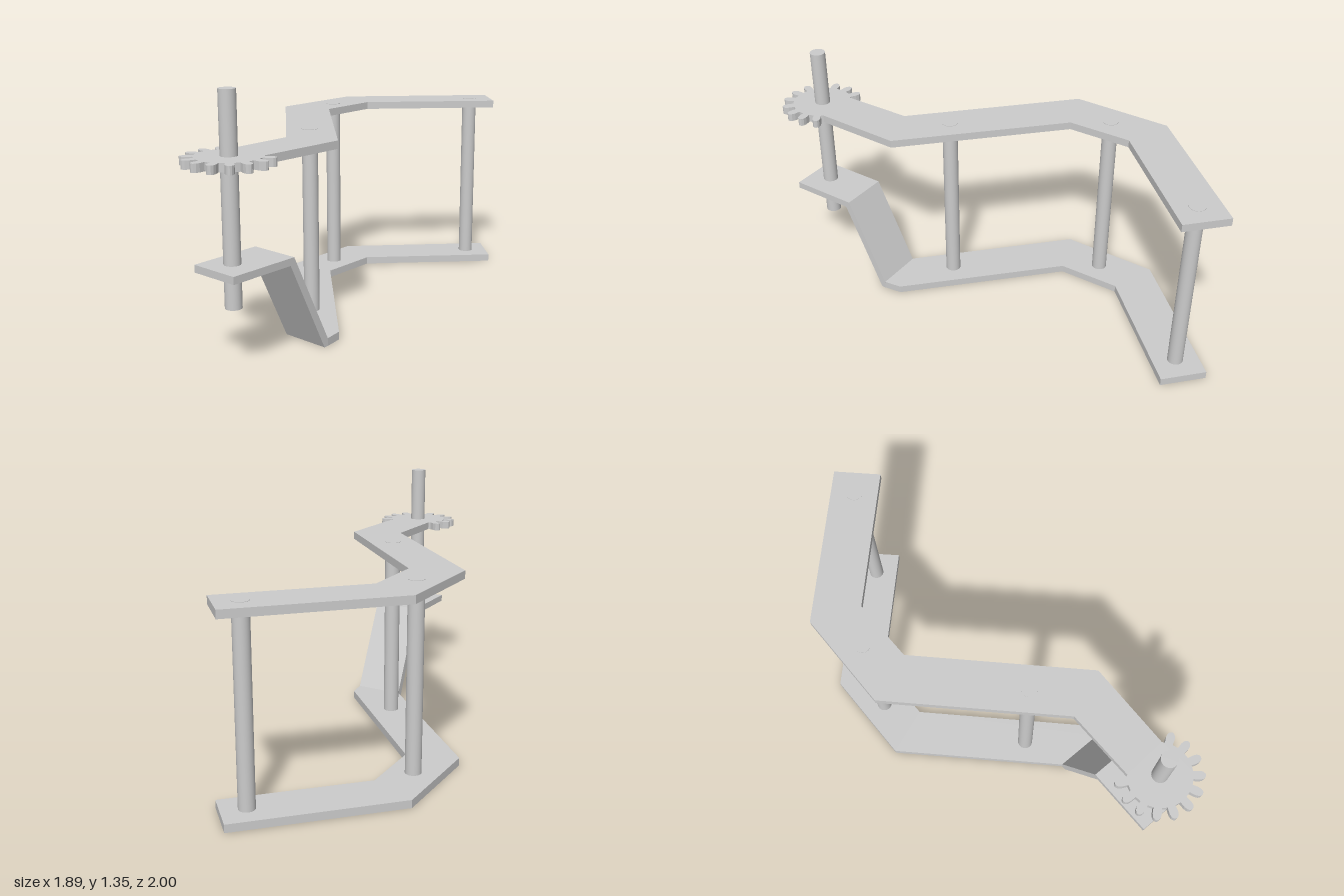
import * as THREE from 'three';

const THICK = 0.042;
const SHAFT = [-0.73, 0.775];

// Flat plate from a plan outline of [x, z] points
function plateGeometry(points, y) {
  const shape = new THREE.Shape(points.map(([x, z]) => new THREE.Vector2(x, -z)));
  const geo = new THREE.ExtrudeGeometry(shape, { depth: THICK, bevelEnabled: false });
  return geo.rotateX(-Math.PI / 2).translate(0, y, 0);
}

// Rounded gear teeth running round the free end of the upper plate
function gearEdge() {
  const tooth = [[-7, 0.165], [-6.5, 0.195], [-5, 0.213], [-2.5, 0.223], [0, 0.226],
    [2.5, 0.223], [5, 0.213], [6.5, 0.195], [7, 0.165]];
  const polar = (deg, r) => {
    const a = THREE.MathUtils.degToRad(deg);
    return [SHAFT[0] + r * Math.cos(a), SHAFT[1] + r * Math.sin(a)];
  };
  const points = [polar(6, 0.165)];
  for (let i = 0; i < 11; i++) {
    for (const [offset, r] of tooth) points.push(polar(18 + i * 24 + offset, r));
  }
  points.push(polar(269, 0.158));
  return points;
}

export function createModel() {
  const group = new THREE.Group();
  const material = new THREE.MeshStandardMaterial({ color: 0xcccccc });
  const add = (name, geo) => {
    const mesh = new THREE.Mesh(geo, material);
    mesh.name = name;
    group.add(mesh);
    return mesh;
  };

  // Zigzag outline shared by both plates
  const zigzag = [[-0.44, 0.36], [-0.37, -0.64], [0.05, -1], [0.94, -0.94],
    [0.925, -0.685], [0.14, -0.74], [-0.125, -0.505], [-0.195, 0.485]];
  add('upperPlateWithGear', plateGeometry([...zigzag, ...gearEdge()], 1.0));
  add('lowerPlate', plateGeometry([...zigzag, [-0.262, 0.562]], 0));

  // Ramp and raised shelf: side profile (distance along the arm, height) swept across the width
  const width = 0.27;
  const profile = [[0, 0], [0.025, 0], [0.255, 0.488], [0.617, 0.488],
    [0.617, 0.526], [0.23, 0.526], [0, THICK]];
  const shape = new THREE.Shape(profile.map(([s, y]) => new THREE.Vector2(s, y)));
  const rampGeo = new THREE.ExtrudeGeometry(shape, { depth: width, bevelEnabled: false });
  rampGeo.translate(0, 0, -width / 2);
  const ramp = add('rampAndShelf', rampGeo);
  ramp.position.set(-0.35, 0, 0.46);
  ramp.rotation.y = Math.atan2(-0.653, -0.757);

  // Spacer pillars between the plates and the long gear shaft
  const rod = (name, x, z, y0, y1) => {
    const geo = new THREE.CylinderGeometry(0.042, 0.042, y1 - y0, 32);
    add(name, geo).position.set(x, (y0 + y1) / 2, z);
  };
  const pillars = [[-0.3, 0.135], [-0.075, -0.72], [0.805, -0.82]];
  pillars.forEach(([x, z], i) => rod(`pillar${i + 1}`, x, z, -0.001, 1.044));
  rod('gearShaft', ...SHAFT, 0.31, 1.35);

  return group;
}
